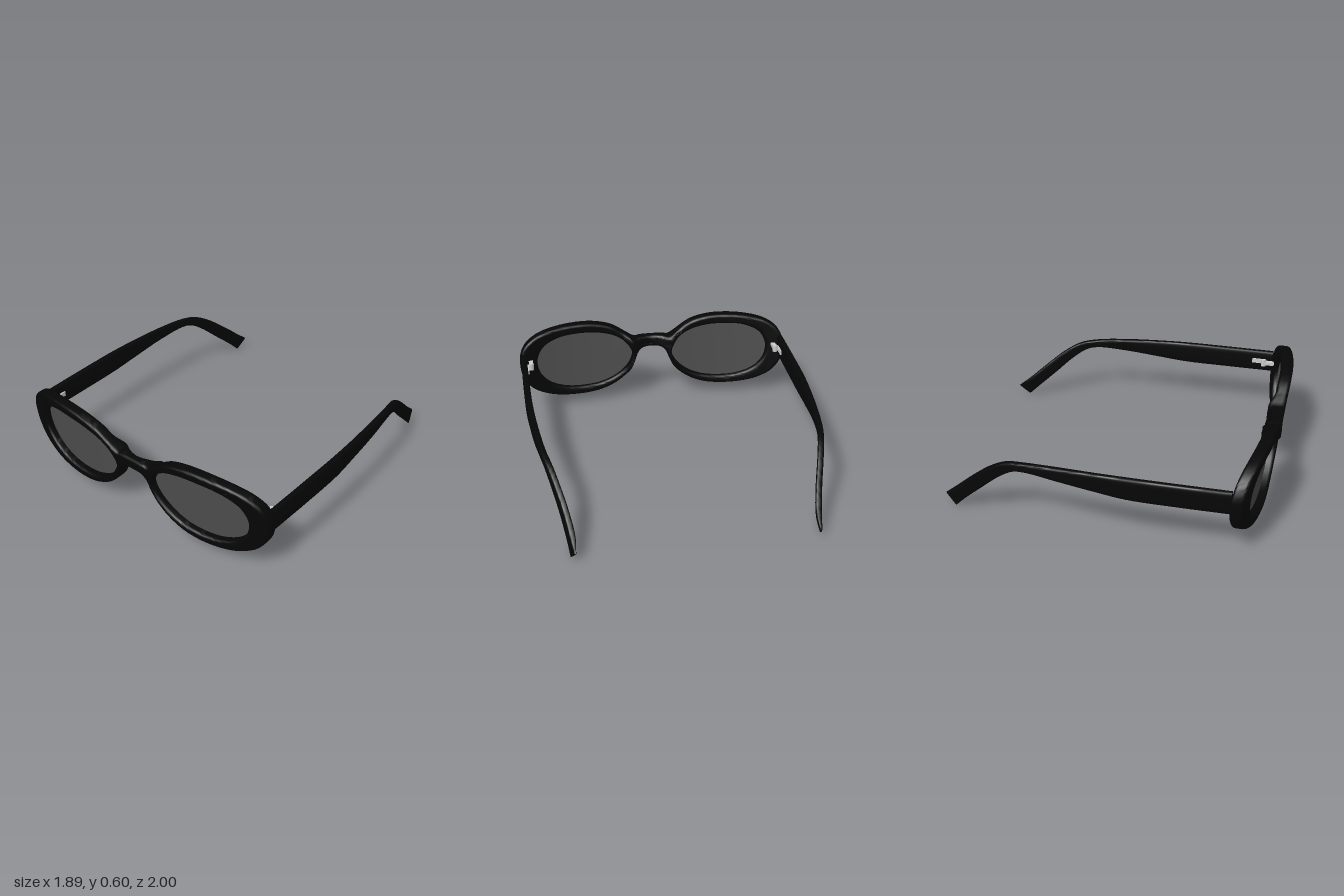
import * as THREE from 'three';
import { mergeVertices, toCreasedNormals } from 'three/addons/utils/BufferGeometryUtils.js';
import { ParametricGeometry } from 'three/addons/geometries/ParametricGeometry.js';

const black = new THREE.MeshStandardMaterial({ color: 0x060606 });
const metal = new THREE.MeshStandardMaterial({ color: 0xcccccc });
const tint = new THREE.MeshStandardMaterial({ color: 0x4e4e4e, side: THREE.DoubleSide });

// Half outline of the front (bridge top, round the lens, back to bridge bottom)
const OUTLINE = [[0, .472], [.08, .472], [.12, .468], [.18, .502], [.28, .565], [.4, .597], [.53, .605],
  [.69, .593], [.82, .56], [.9, .505], [.935, .44], [.943, .375], [.925, .275], [.865, .185], [.77, .125],
  [.66, .092], [.5, .08], [.36, .1], [.24, .157], [.16, .235], [.122, .31], [.1, .36], [.07, .386], [0, .394]];
// Opening of one lens
const OPENING = [[.142, .36], [.175, .43], [.25, .49], [.37, .528], [.52, .539], [.67, .525], [.775, .473],
  [.82, .385], [.805, .285], [.74, .205], [.63, .153], [.5, .137], [.36, .153], [.25, .203], [.17, .28]];
// Temple stations: top z, top y, bottom z, bottom y, outer x, inner x
const TEMPLE = [[.815, .46, .815, .315, .935, .895], [.5, .46, .5, .315, .937, .895],
  [.2, .46, .2, .319, .935, .893], [0, .457, 0, .34, .925, .885], [-.25, .45, -.23, .367, .907, .868],
  [-.45, .435, -.43, .383, .882, .843], [-.56, .412, -.51, .368, .862, .822],
  [-.67, .35, -.61, .3, .833, .793], [-.8, .243, -.74, .18, .795, .754],
  [-.92, .135, -.86, .07, .768, .73], [-1, .07, -.93, 0, .752, .738]];

const closedCurve = pts =>
  new THREE.CatmullRomCurve3(pts.map(([x, y]) => new THREE.Vector3(x, y, 0)), true);
const contour = (pts, n) =>
  closedCurve(pts).getPoints(n).slice(0, -1).map(p => new THREE.Vector2(p.x, p.y));
const flipX = pts => pts.map(([x, y]) => [-x, y]);

// Wrap and tilt of the front face, and its thickness with nose pads
const frontZ = (x, y) => 1.003 - .09 * (.6 - y) - .24 * Math.max(0, Math.abs(x) - .3) ** 2;
const thickness = x => .08 - .02 * Math.exp(-((x / .07) ** 2))
  + .03 * Math.exp(-(((Math.abs(x) - .14) / .045) ** 2));

// Halve the longest edge of each triangle until all are short enough to bend smoothly
function split(a, b, c, max, out) {
  const len = (p, q) => Math.hypot(p.x - q.x, p.y - q.y);
  const ab = len(a, b), bc = len(b, c), ca = len(c, a), longest = Math.max(ab, bc, ca);
  if (longest <= max) out.push(a, b, c);
  else if (longest === ab) {
    const m = a.clone().add(b).multiplyScalar(.5);
    split(a, m, c, max, out);
    split(m.clone(), b, c.clone(), max, out);
  } else if (longest === bc) split(b, c, a, max, out);
  else split(c, a, b, max, out);
}

function frameGeometry() {
  const shape = new THREE.Shape(contour([...OUTLINE, ...flipX(OUTLINE.slice(1, -1)).reverse()], 220));
  for (const pts of [[...OPENING].reverse(), flipX(OPENING)]) {
    shape.holes.push(new THREE.Path(contour(pts, 90)));
  }
  const slab = new THREE.ExtrudeGeometry(shape, {
    depth: .5, steps: 1, bevelThickness: .25, bevelSize: .018, bevelOffset: -.018, bevelSegments: 4
  });
  const p = slab.attributes.position, points = [];
  const corner = i => new THREE.Vector3().fromBufferAttribute(p, i);
  for (let i = 0; i < p.count; i += 3) split(corner(i), corner(i + 1), corner(i + 2), .04, points);
  const bent = points.map(({ x, y, z }) =>
    new THREE.Vector3(x, y, frontZ(x, y) - (.75 - z) * thickness(x)));
  const geo = new THREE.BufferGeometry().setFromPoints(bent);
  return toCreasedNormals(mergeVertices(geo), .7);
}

function lensGeometry(side) {
  const rim = closedCurve(OPENING);
  return new ParametricGeometry((u, v, target) => {
    const p = rim.getPoint(u % 1);
    const r = Math.max(v, .001) * 1.015;
    const x = .48 + (p.x - .48) * r, y = .34 + (p.y - .34) * r;
    target.set(side * x, y, frontZ(x, y) - .05);
  }, 72, 8);
}

// Loft of rounded rectangular sections along the temple
function templeGeometry(side) {
  const top = new THREE.CatmullRomCurve3(TEMPLE.map(s => new THREE.Vector3(s[4], s[1], s[0])));
  const bottom = new THREE.CatmullRomCurve3(TEMPLE.map(s => new THREE.Vector3(s[5], s[3], s[2])));
  const rows = 60, cols = 24, pos = [], idx = [];
  const soft = v => Math.sign(v) * Math.abs(v) ** .4;
  const face = (a, b, c) => side > 0 ? idx.push(a, c, b) : idx.push(a, b, c);
  for (let i = 0; i <= rows; i++) {
    const a = top.getPoint(i / rows), b = bottom.getPoint(i / rows);
    for (let j = 0; j < cols; j++) {
      const t = (j + .5) / cols * Math.PI * 2;
      const w = (1 + soft(Math.cos(t))) / 2, h = (1 + soft(Math.sin(t))) / 2;
      // The slanted sections of the tip follow its inward sweep
      const lean = (a.z - b.z) * (h - .5) * .3;
      pos.push(side * (b.x + (a.x - b.x) * w + lean), b.y + (a.y - b.y) * h, b.z + (a.z - b.z) * h);
    }
  }
  for (let i = 0; i < rows; i++) for (let j = 0; j < cols; j++) {
    const a = i * cols + j, b = i * cols + (j + 1) % cols;
    face(a, b, a + cols);
    face(b, b + cols, a + cols);
  }
  // End caps
  const last = rows * cols;
  for (let j = 1; j < cols - 1; j++) {
    face(0, j + 1, j);
    face(last, last + j, last + j + 1);
  }
  const geo = new THREE.BufferGeometry();
  geo.setAttribute('position', new THREE.Float32BufferAttribute(pos, 3));
  geo.setIndex(idx);
  return toCreasedNormals(geo, .7);
}

function hinge(side) {
  const group = new THREE.Group();
  const add = (name, geo, x, y, z) => {
    const mesh = new THREE.Mesh(geo, metal);
    mesh.name = name;
    mesh.position.set(side * x, y, z);
    group.add(mesh);
  };
  add('hingeBarrel', new THREE.CylinderGeometry(.017, .017, .045, 20), .868, .39, .757);
  add('hingeScrew', new THREE.CylinderGeometry(.01, .01, .052, 12), .868, .39, .757);
  add('hingeFrontArm', new THREE.BoxGeometry(.03, .022, .075), .868, .39, .795);
  add('hingeTemplePlate', new THREE.BoxGeometry(.012, .03, .09), .891, .39, .72);
  add('hingeTempleArm', new THREE.BoxGeometry(.025, .022, .02), .882, .39, .752);
  return group;
}

export function createModel() {
  const model = new THREE.Group();
  model.name = 'sunglasses';
  const add = (name, geo, mat) => {
    const mesh = new THREE.Mesh(geo, mat);
    mesh.name = name;
    model.add(mesh);
  };
  add('frontFrame', frameGeometry(), black);
  for (const [label, side] of [['left', 1], ['right', -1]]) {
    add(label + 'Lens', lensGeometry(side), tint);
    add(label + 'Temple', templeGeometry(side), black);
    const h = hinge(side);
    h.name = label + 'Hinge';
    model.add(h);
  }
  return model;
}
